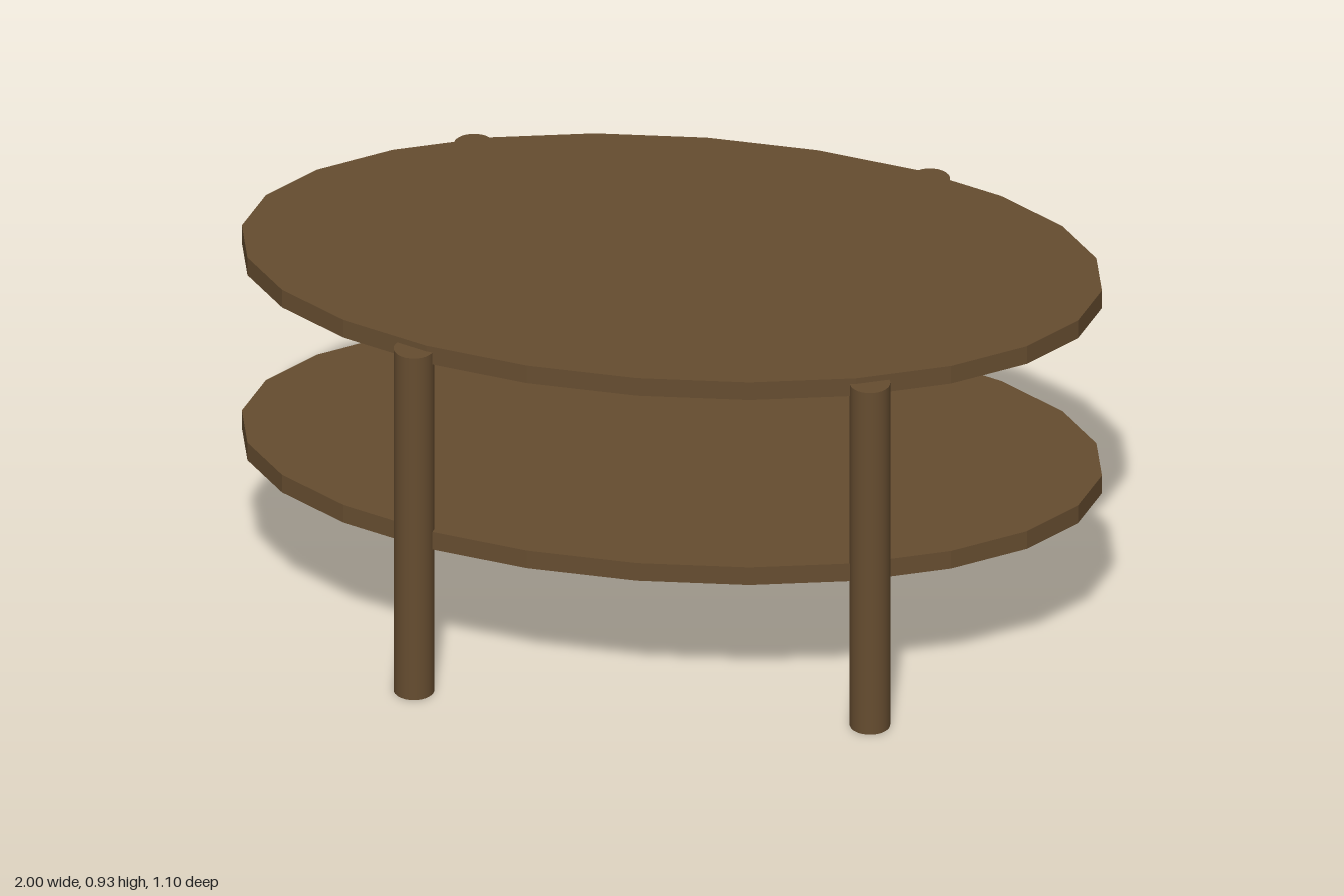
import * as THREE from 'three';

export function createModel() {
  const model = new THREE.Group();
  model.name = 'ovalTable';
  const wood = new THREE.MeshStandardMaterial({ color: 0x664d30 });
  wood.name = 'brown wood';

  const add = (geometry, name, x, y, z) => {
    const mesh = new THREE.Mesh(geometry, wood);
    mesh.name = name;
    mesh.position.set(x, y, z);
    model.add(mesh);
  };

  // Oval board with 24 crisp facets around the rim
  const thickness = 0.047;
  const board = new THREE.CylinderGeometry(1, 1, thickness, 24).scale(1, 1, 0.55).toNonIndexed();
  board.computeVertexNormals();

  // Rail under each board, running between front and back legs
  const legX = 0.53, legZ = 0.467;
  const rail = new THREE.BoxGeometry(0.068, 0.025, legZ * 2 - 0.02);

  for (const [name, bottom] of [['tableTop', 0.88], ['lowerShelf', 0.386]]) {
    add(board, name, 0, bottom + thickness / 2, 0);
    for (const side of [-1, 1]) add(rail, name + 'Rail', side * legX, bottom - 0.0125, 0);
  }

  // Four round legs, set into the rims of both boards
  const legHeight = 0.912;
  const leg = new THREE.CylinderGeometry(0.047, 0.047, legHeight, 24);
  for (const sx of [-1, 1]) {
    for (const sz of [-1, 1]) {
      add(leg, (sz > 0 ? 'front' : 'back') + (sx > 0 ? 'Left' : 'Right') + 'Leg', sx * legX, legHeight / 2, sz * legZ);
    }
  }
  return model;
}
